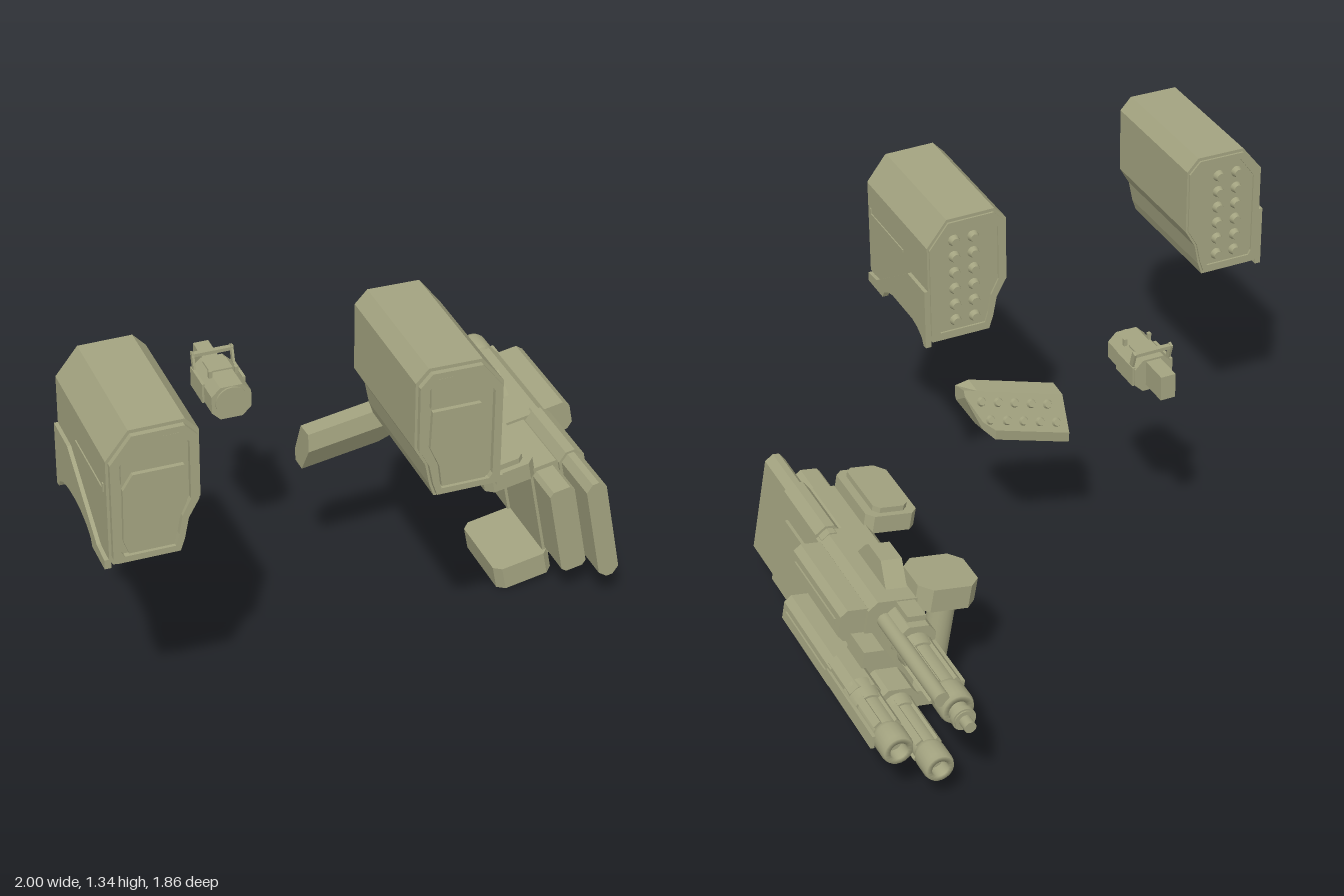
import * as THREE from 'three';

const olive = new THREE.MeshStandardMaterial({ color: 0xa3a380 });
olive.name = 'olive drab';

function add(parent, name, geo, x = 0, y = 0, z = 0) {
  const m = new THREE.Mesh(geo, olive);
  m.name = name;
  m.position.set(x, y, z);
  parent.add(m);
  return m;
}
const toShape = pts => new THREE.Shape(pts.map(p => new THREE.Vector2(p[0], p[1])));
function extrude(pts, depth, hole) {
  const s = toShape(pts);
  if (hole) s.holes.push(toShape(hole));
  return new THREE.ExtrudeGeometry(s, { depth, bevelEnabled: false, curveSegments: 12 });
}
// outline in x,y run along z
const prism = (g, name, pts, z0, z1, hole) => add(g, name, extrude(pts, z1 - z0, hole), 0, 0, z0);
// outline in x,z raised along y
const plate = (g, name, pts, y0, y1) =>
  add(g, name, extrude(pts.map(p => [p[0], -p[1]]), y1 - y0).rotateX(-Math.PI / 2), 0, y0, 0);
// outline in z,y run along x
const panel = (g, name, pts, x0, x1) =>
  add(g, name, extrude(pts, x1 - x0).rotateY(-Math.PI / 2), x1, 0, 0);
// rectangle with cut corners
const cut = (a, b, c, d, k) => [[a + k, c], [b - k, c], [b, c + k], [b, d - k], [b - k, d], [a + k, d], [a, d - k], [a, c + k]];
const box = (g, name, x0, x1, y0, y1, z0, z1) =>
  add(g, name, new THREE.BoxGeometry(x1 - x0, y1 - y0, z1 - z0), (x0 + x1) / 2, (y0 + y1) / 2, (z0 + z1) / 2);
// cylinder lying along z
const rod = (g, name, x, y, r, z0, z1, r2 = r, sides = 20) =>
  add(g, name, new THREE.CylinderGeometry(r, r2, z1 - z0, sides).rotateX(Math.PI / 2), x, y, (z0 + z1) / 2);

// Missile pod; s = -1 mirrors it
function pod(name, cx, s) {
  const g = new THREE.Group();
  g.name = name;
  g.position.x = cx;
  const m = pts => pts.map(p => [s * (p[0] - 0.14), p[1]]);
  const outline = [[0.03, 1.33], [0.205, 1.328], [0.278, 1.235], [0.278, 0.885], [0.265, 0.866], [0.055, 0.866],
    [0.04, 0.91], [0.025, 0.985], [-0.012, 1.05], [-0.012, 1.285]];
  const shrink = (k, h) => m(outline.map(p => [0.135 + (p[0] - 0.135) * k, 1.1 + (p[1] - 1.1) * h]));
  prism(g, 'podBody', m(outline), 0.41, 0.912);
  prism(g, 'podFrontRim', shrink(0.94, 0.95), 0.912, 0.93, shrink(0.76, 0.86));
  prism(g, 'podLowerDoor', m([[0.232, 1.13], [0.2, 1.18], [0.04, 1.18], [0.035, 1.05], [0.066, 0.98], [0.076, 0.905], [0.22, 0.905], [0.235, 0.95]]), 0.912, 0.927);
  prism(g, 'podUpperDoor', m([[0.235, 1.225], [0.192, 1.293], [0.05, 1.293], [0.035, 1.27], [0.035, 1.192], [0.203, 1.192], [0.235, 1.15]]), 0.912, 0.924);
  prism(g, 'podRearRim', shrink(0.95, 0.95), 0.403, 0.41, shrink(0.78, 0.86));
  // two columns of missile tips
  for (const x of [0.11, 0.18]) for (let i = 0; i < 6; i++)
    rod(g, 'missileTip', s * (x - 0.14), 1.245 - i * 0.062, 0.022, 0.39, 0.415, 0.015, 14);
  // outer skirt with the arched cut-out
  const skirt = [[0.905, 0.85], [0.905, 0.882], [0.83, 0.89], [0.55, 1.07], [0.41, 1.07], [0.41, 0.85], [0.43, 0.85]];
  for (let i = 1; i <= 8; i++) {
    const a = Math.PI * i / 8;
    skirt.push([0.605 - 0.175 * Math.cos(a), 0.85 + 0.065 * Math.sin(a)]);
  }
  const xs = [s * 0.13, s * 0.151].sort((a, b) => a - b);
  panel(g, 'podSkirt', skirt, xs[0], xs[1]);
  add(g, 'podSideStrip', new THREE.BoxGeometry(0.006, 0.01, 0.28), s * 0.139, 1.122, 0.75);
  add(g, 'podStripHook', new THREE.BoxGeometry(0.006, 0.025, 0.01), s * 0.139, 1.133, 0.886);
  return g;
}

// Sensor unit
function sensor() {
  const g = new THREE.Group();
  g.name = 'sensor';
  g.position.set(-0.335, 0, 0);
  prism(g, 'sensorBody', cut(-0.068, 0.068, 0.78, 0.9, 0.03), -0.05, 0.15);
  rod(g, 'sensorLens', 0, 0.842, 0.056, 0.148, 0.156);
  box(g, 'sensorTail', -0.027, 0.027, 0.803, 0.893, -0.158, -0.05);
  for (const s of [-1, 1]) {
    add(g, 'sensorCheek', new THREE.BoxGeometry(0.01, 0.07, 0.12), s * 0.07, 0.842, 0.015);
    add(g, 'sensorPost', new THREE.BoxGeometry(0.008, 0.06, 0.02), s * 0.068, 0.905, -0.035).rotation.x = -0.3;
    add(g, 'sensorStud', new THREE.BoxGeometry(0.012, 0.025, 0.012), s * 0.045, 0.908, 0.07);
  }
  add(g, 'sensorCrossbar', new THREE.BoxGeometry(0.14, 0.012, 0.018), 0, 0.924, -0.04);
  box(g, 'sensorTopPlate', -0.04, 0.04, 0.9, 0.906, -0.02, 0.05);
  return g;
}

// Slanted missile rack, lofted along x
function rack() {
  const g = new THREE.Group();
  g.name = 'missileRack';
  const base = [[0.23, 0.705], [0.235, 0.64], [0.17, 0.535], [0.11, 0.535], [0.105, 0.575], [0.16, 0.7]];
  const rings = [[-0.1, 0], [0.16, 0], [0.2, 0.2], [0.247, 0.85]].map(([x, t]) => base.map((p, i) => {
    const q = i < 2 || i === 5 ? p : base[i === 2 ? 1 : 5];
    const k = i === 0 && t > 0.8 ? 0.025 : 0;
    return [x, p[1] + (q[1] - p[1]) * t + 0.26 * (x + 0.1) - k, p[0] + (q[0] - p[0]) * t + 0.12 * (x + 0.1)];
  }));
  const v = [], tri = (a, b, c) => v.push(...a, ...b, ...c);
  for (let r = 0; r < 3; r++) for (let i = 0; i < 6; i++) {
    const j = (i + 1) % 6, a = rings[r], b = rings[r + 1];
    tri(a[i], a[j], b[j]);
    tri(a[i], b[j], b[i]);
  }
  for (let i = 1; i < 5; i++) {
    tri(rings[0][0], rings[0][i + 1], rings[0][i]);
    tri(rings[3][0], rings[3][i], rings[3][i + 1]);
  }
  const geo = new THREE.BufferGeometry();
  geo.setAttribute('position', new THREE.Float32BufferAttribute(v, 3));
  geo.computeVertexNormals();
  add(g, 'rackBody', geo).material.side = THREE.DoubleSide;
  // missile tips on the rear face
  const n = new THREE.Vector3(0, 0.4, -0.92).normalize();
  for (let row = 0; row < 2; row++) for (let i = 0; i < 5; i++) {
    const x = -0.06 + i * 0.058 + row * 0.02, d = x + 0.1, k = row ? 0.73 : 0.27;
    const tip = add(g, 'rackMissileTip', new THREE.CylinderGeometry(0.012, 0.021, 0.022, 12),
      x, 0.575 + 0.125 * k + 0.26 * d, 0.105 + 0.055 * k + 0.12 * d);
    tip.quaternion.setFromUnitVectors(new THREE.Vector3(0, 1, 0), n);
  }
  return g;
}

// Gun barrel: rear collar, sleeve, raised bands and open muzzle
function barrel(g, name, x, y, r, z0, z1) {
  const b = new THREE.Group();
  b.name = name;
  g.add(b);
  rod(b, 'barrelCollar', x, y, r * 1.12, z1 - 0.09, z1, r);
  rod(b, 'barrelSleeve', x, y, r * 0.85, z0 + 0.08, z1);
  const p = [[0.55, 0.05], [0.55, 0], [0.9, 0], [1, 0.015], [1, 0.08], [0.85, 0.1]];
  add(b, 'muzzle', new THREE.LatheGeometry(p.map(q => new THREE.Vector2(q[0] * r, q[1])).reverse(), 20)
    .rotateX(Math.PI / 2), x, y, z0);
  rod(b, 'muzzleBore', x, y, r * 0.56, z0 + 0.045, z0 + 0.09);
  for (let i = 0; i < 4; i++) {
    const a = Math.PI / 4 + i * Math.PI / 2;
    const fin = add(b, 'barrelRib', new THREE.BoxGeometry(r * 0.5, r * 0.35, z1 - z0 - 0.14),
      x + Math.cos(a) * r * 0.83, y + Math.sin(a) * r * 0.83, (z0 + z1) / 2 + 0.03);
    fin.rotation.z = a + Math.PI / 2;
  }
}

// Rolled multi-barrel weapon
function weapon() {
  const g = new THREE.Group();
  g.name = 'weapon';
  g.position.set(0.76, 0.28, 0);
  g.rotation.z = 0.183;
  prism(g, 'receiver', cut(-0.08, 0.125, -0.195, 0.195, 0.03), -0.38, 0.06);
  prism(g, 'receiverFront', cut(-0.07, 0.05, -0.185, 0.185, 0.02), 0.06, 0.33);
  prism(g, 'stock', cut(0.045, 0.118, -0.195, 0.2, 0.025), 0.03, 0.54);
  prism(g, 'stockCollar', cut(0.035, 0.128, -0.205, 0.208, 0.03), 0.06, 0.34);
  box(g, 'stockSidePlate', 0.12, 0.14, -0.09, 0.1, 0.06, 0.28);
  prism(g, 'frontMagazine', cut(-0.06, 0.03, -0.17, 0.17, 0.015), 0.3, 0.47);
  // top and bottom mounting feet
  for (const s of [-1, 1]) {
    const ys = [s * 0.165, s * 0.25].sort((a, b) => a - b);
    const a = s > 0 ? -0.235 : -0.255;
    plate(g, 'frontFoot', cut(a, -0.05, 0.05, 0.35, 0.025), ys[0], ys[1] - (s > 0 ? 0.02 : 0));
    plate(g, 'frontFootCap', cut(a + 0.03, -0.08, 0.07, 0.33, 0.02), ys[0] + 0.005, ys[1]);
    const yr = [s * 0.155, s * (s > 0 ? 0.24 : 0.215)].sort((p, q) => p - q);
    plate(g, 'handleBracket', cut(-0.255, -0.04, -0.415, -0.22, 0.04), yr[0], yr[1]);
  }
  add(g, 'handle', new THREE.CylinderGeometry(0.045, 0.045, 0.34, 20), -0.17, 0, -0.32);
  // top sight hump
  panel(g, 'topHump', [[-0.08, 0.19], [-0.13, 0.25], [-0.15, 0.265], [-0.25, 0.265], [-0.32, 0.19]], -0.035, 0.04);
  // side gun housings with rails
  for (const [v0, v1, u] of [[0.055, 0.17, 0.215], [-0.138, -0.03, 0.222]]) {
    prism(g, 'sideHousing', cut(0.1, u, v0, v1, 0.022), -0.37, 0.03);
    box(g, 'sideHousingRail', u - 0.01, u + 0.006, (v0 + v1) / 2 - 0.012, (v0 + v1) / 2 + 0.012, -0.34, 0);
  }
  // rear collars around the barrels
  prism(g, 'upperBarrelBlock', cut(-0.065, 0.065, 0.01, 0.17, 0.03), -0.5, -0.36);
  prism(g, 'lowerBarrelBlock', cut(-0.04, 0.1, -0.19, -0.07, 0.03), -0.5, -0.36);
  prism(g, 'sideBarrelBlock', cut(0.11, 0.218, -0.13, -0.02, 0.025), -0.52, -0.34);
  box(g, 'upperSideBlock', 0.1, 0.17, 0.02, 0.08, -0.48, -0.36);
  box(g, 'rearTopBlock', -0.035, 0.03, 0.15, 0.19, -0.47, -0.34);
  barrel(g, 'upperBarrel', 0.003, 0.085, 0.058, -0.84, -0.46);
  barrel(g, 'lowerBarrel', 0.03, -0.138, 0.052, -0.84, -0.46);
  barrel(g, 'sideBarrel', 0.165, -0.075, 0.054, -0.8, -0.48);
  rod(g, 'barrelTip', 0.003, 0.08, 0.034, -0.89, -0.78);
  rod(g, 'barrelTipNose', 0.003, 0.08, 0.02, -0.93, -0.88);
  rod(g, 'barrelTipRing', 0.003, 0.08, 0.04, -0.885, -0.865);
  rod(g, 'auxiliaryTube', 0.062, 0.125, 0.026, -0.83, -0.36);
  box(g, 'barrelSideRail', 0.215, 0.228, -0.105, -0.06, -0.73, -0.35);
  box(g, 'barrelLeftRail', -0.066, -0.05, 0.06, 0.11, -0.73, -0.4);
  return g;
}

export function createModel() {
  const model = new THREE.Group();
  model.name = 'weaponSet';
  model.add(pod('leftPod', 0.14, 1), pod('rightPod', -0.85, -1), sensor(), rack(), weapon());
  return model;
}
